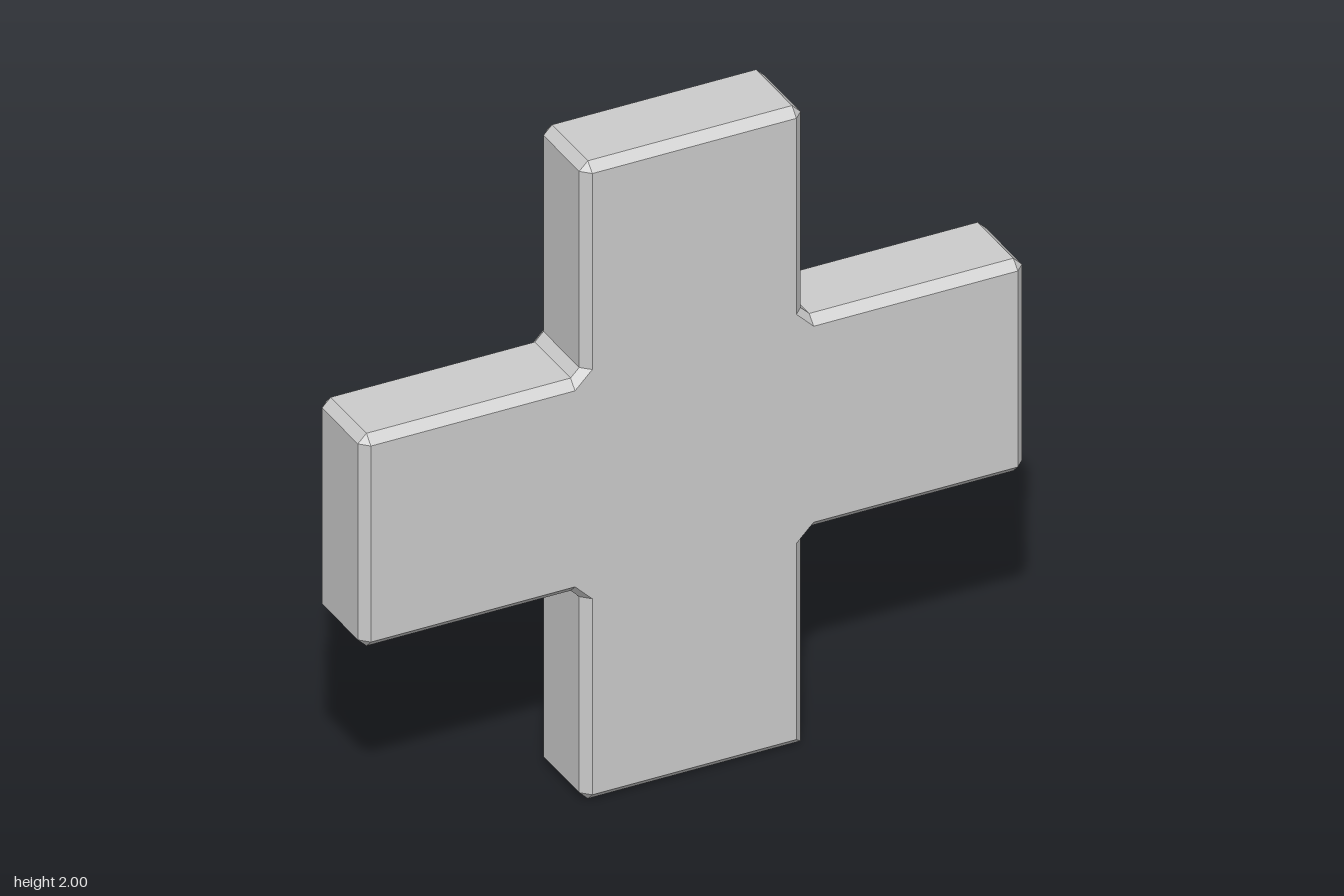
import * as THREE from 'three';

const HALF_ARM = 1 / 3, BEVEL = 0.026, HALF_DEPTH = 0.13;

// Outlines of the cross, counter-clockwise: the rim, and the matching inset face.
function outlines() {
  const a = HALF_ARM, c = BEVEL, rim = [], face = [];
  for (let k = 0; k < 4; k++) {
    const turn = ([x, y]) => new THREE.Vector2(x, y).rotateAround(new THREE.Vector2(), k * Math.PI / 2);
    // inner corner, then the two outer corners of one arm
    const arm = [[a, -a - c], [a + c, -a], [1 - c, -a], [1, -a + c], [1, a - c], [1 - c, a]];
    const inset = [[a - c, -a - c], [a + c, -a + c], [1 - c, -a + c], [1 - c, -a + c], [1 - c, a - c], [1 - c, a - c]];
    // the bottom left corner keeps its sharp edge
    if (k === 3) arm[4] = arm[5] = [1, a];
    rim.push(...arm.map(turn));
    face.push(...inset.map(turn));
  }
  return { rim, face };
}

function crossGeometry() {
  const { rim, face } = outlines();
  const n = rim.length, positions = [];
  const ring = (points, z) => points.map(p => new THREE.Vector3(p.x, p.y + 1, z));
  const rings = [
    ring(face, -HALF_DEPTH), ring(rim, -HALF_DEPTH + BEVEL),
    ring(rim, HALF_DEPTH - BEVEL), ring(face, HALF_DEPTH),
  ];
  const triangle = (p, q, r) => {
    const area = q.clone().sub(p).cross(r.clone().sub(p)).length();
    if (area > 1e-7) for (const v of [p, q, r]) positions.push(v.x, v.y, v.z);
  };

  // back bevel, side walls, front bevel
  for (let s = 0; s < 3; s++) {
    const low = rings[s], high = rings[s + 1];
    for (let i = 0; i < n; i++) {
      const j = (i + 1) % n;
      triangle(low[i], low[j], high[j]);
      triangle(low[i], high[j], high[i]);
    }
  }

  // flat front and back faces
  const flat = face.filter((p, i) => p.distanceTo(face[(i + 1) % n]) > 1e-6);
  const back = ring(flat, -HALF_DEPTH), front = ring(flat, HALF_DEPTH);
  for (const [i, j, k] of THREE.ShapeUtils.triangulateShape(flat, [])) {
    triangle(front[i], front[j], front[k]);
    triangle(back[i], back[k], back[j]);
  }

  const geometry = new THREE.BufferGeometry();
  geometry.setAttribute('position', new THREE.Float32BufferAttribute(positions, 3));
  geometry.computeVertexNormals();
  return geometry;
}

export function createModel() {
  const group = new THREE.Group();
  const material = new THREE.MeshStandardMaterial({ color: 0xcccccc, flatShading: true });
  const cross = new THREE.Mesh(crossGeometry(), material);
  cross.name = 'bevelledCross';
  group.add(cross);
  return group;
}
